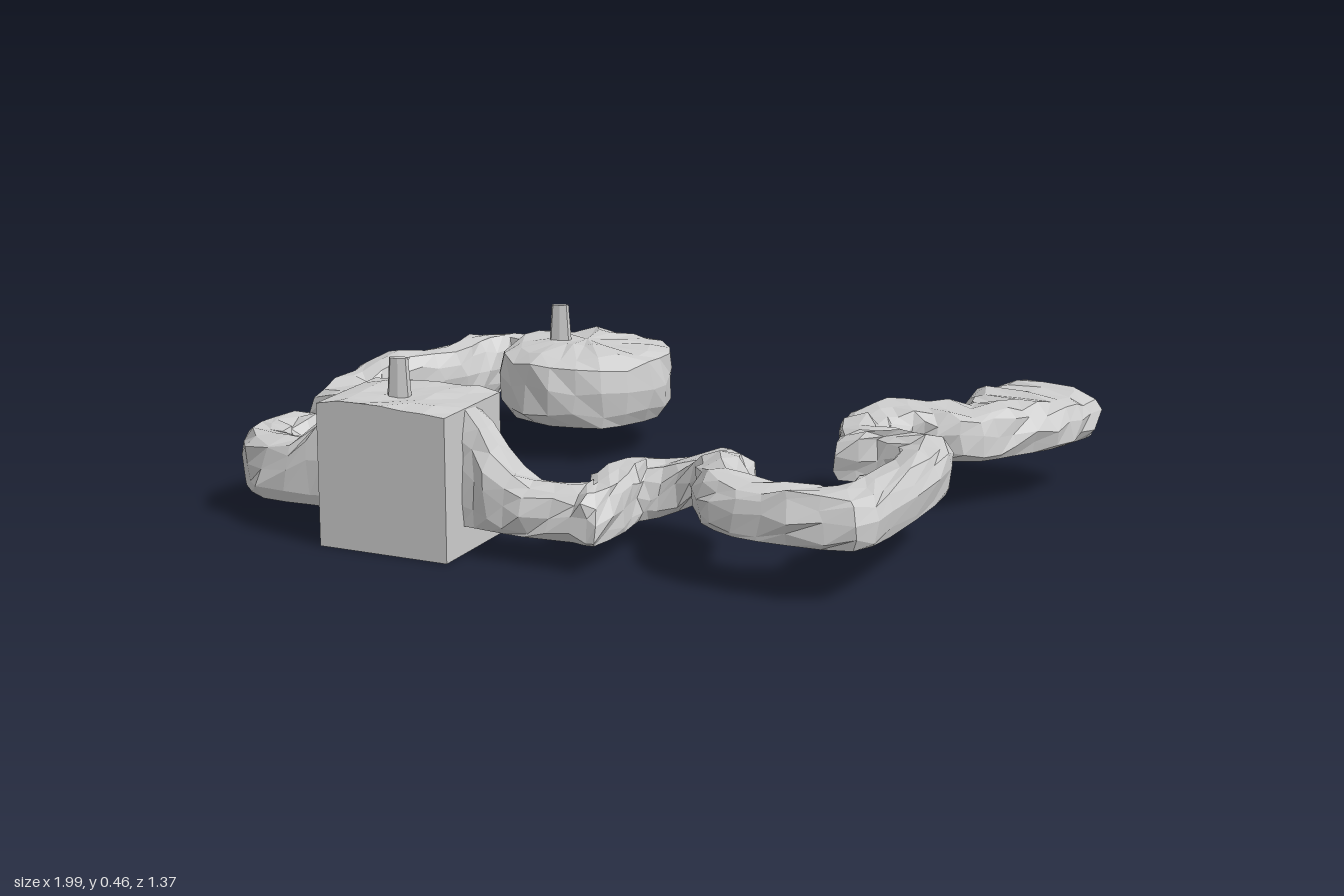
import * as THREE from 'three';

const rock = new THREE.MeshStandardMaterial({ color: 0xcccccc, flatShading: true, side: THREE.DoubleSide });
rock.name = 'pale grey rock';

// Repeatable roughness taken from a position, so shared corners stay together
const rough = (x, y, z, k) => {
  const q = (v) => Math.round(v * 500);
  const s = Math.sin(q(x) * 12.99 + q(y) * 78.23 + q(z) * 37.72 + k * 11.3) * 43758.5453;
  return (s - Math.floor(s)) * 2 - 1;
};

function roughen(geometry, amount, keepBelow) {
  const p = geometry.attributes.position;
  for (let i = 0; i < p.count; i++) {
    const x = p.getX(i), y = p.getY(i), z = p.getZ(i);
    const floor = y < keepBelow;
    p.setXYZ(i, x + rough(x, y, z, 1) * amount, y + (floor ? 0 : rough(x, y, z, 2) * amount),
      z + rough(x, y, z, 3) * amount);
  }
  geometry.computeVertexNormals();
  return geometry;
}

// Passage section: [across 0..1, height 0..1]
const section = [[0.06, 0], [0, 0.16], [0.01, 0.5], [0.07, 0.8], [0.2, 0.95], [0.5, 1],
  [0.8, 0.95], [0.93, 0.8], [0.99, 0.5], [1, 0.16], [0.94, 0]];

// Skin a passage between two plan edges; rows are [leftX, leftZ, rightX, rightZ]
function passage(rows, heights, steps) {
  const edge = (k) => new THREE.CatmullRomCurve3(
    rows.map((r) => new THREE.Vector3(r[k], 0, r[k + 1])), false, 'catmullrom', 0.4);
  const left = edge(0), right = edge(2), n = (rows.length - 1) * steps, m = section.length;
  const pos = [], index = [];
  for (let j = 0; j <= n; j++) {
    const a = left.getPoint(j / n), b = right.getPoint(j / n);
    const [bottom, top] = heights((a.x + b.x) / 2, (a.z + b.z) / 2);
    section.forEach(([u, v], i) => {
      const x = a.x + (b.x - a.x) * u, z = a.z + (b.z - a.z) * u;
      const y = bottom + (top - bottom) * v, r = v === 0 ? 0 : 0.011;
      pos.push(x + rough(x, y, z, 1) * r, y + rough(x, y, z, 2) * r, z + rough(x, y, z, 3) * r);
      if (j < n) {
        const p = j * m + i, q = j * m + (i + 1) % m;
        index.push(p, q, p + m, q, q + m, p + m);
      }
    });
  }
  // End caps
  for (let i = 1; i < m - 1; i++) {
    index.push(0, i + 1, i, n * m, n * m + i, n * m + i + 1);
  }
  const g = new THREE.BufferGeometry();
  g.setAttribute('position', new THREE.Float32BufferAttribute(pos, 3));
  g.setIndex(index);
  g.computeVertexNormals();
  return g;
}

// Passage roof climbs where it meets the square chamber
const hill = (x, z, top) => {
  const t = z > 0.4 ? THREE.MathUtils.clamp(1 - (Math.abs(x + 0.405) - 0.17) / 0.14, 0, 1) : 0;
  return top + (0.36 - top) * t;
};
const westHeights = (x, z) => {
  const t = THREE.MathUtils.smoothstep(-z, 0, 0.26);
  return [0.07 + 0.03 * t, hill(x, z, 0.22 + 0.035 * t)];
};
const eastHeights = (x, z) => {
  const t = THREE.MathUtils.smoothstep(x, 0.1, 0.36);
  return [0.07 + 0.067 * t, hill(x, z, 0.19 + 0.068 * t)];
};

const westRows = [
  [-0.52, -0.5, -0.52, -0.66], [-0.66, -0.53, -0.66, -0.645], [-0.7, -0.52, -0.78, -0.63],
  [-0.71, -0.44, -0.85, -0.54], [-0.72, -0.32, -0.86, -0.36], [-0.8, -0.22, -0.96, -0.27],
  [-0.84, -0.1, -0.98, -0.1], [-0.82, -0.06, -0.99, 0.05], [-0.72, -0.06, -0.84, 0.075],
  [-0.59, -0.04, -0.68, 0.09], [-0.51, 0.05, -0.62, 0.13], [-0.495, 0.17, -0.615, 0.17],
  [-0.55, 0.3, -0.66, 0.2], [-0.65, 0.345, -0.74, 0.21], [-0.76, 0.37, -0.86, 0.24],
  [-0.79, 0.42, -0.93, 0.38], [-0.77, 0.46, -0.91, 0.51], [-0.72, 0.46, -0.8, 0.6],
  [-0.65, 0.455, -0.66, 0.6], [-0.57, 0.45, -0.57, 0.6]];

const eastRows = [
  [-0.24, 0.46, -0.24, 0.6], [-0.15, 0.47, -0.16, 0.61], [-0.08, 0.47, -0.06, 0.62],
  [0, 0.45, 0.07, 0.61], [0.03, 0.42, 0.13, 0.62], [0, 0.38, 0.15, 0.48],
  [0.04, 0.25, 0.14, 0.39], [0.12, 0.2, 0.18, 0.36], [0.29, 0.22, 0.27, 0.365],
  [0.4, 0.29, 0.3, 0.43], [0.44, 0.42, 0.36, 0.54], [0.52, 0.455, 0.47, 0.61],
  [0.6, 0.46, 0.61, 0.62], [0.66, 0.43, 0.77, 0.6], [0.68, 0.33, 0.81, 0.46],
  [0.69, 0.17, 0.82, 0.17], [0.67, 0.05, 0.8, 0], [0.61, 0.04, 0.72, -0.05],
  [0.52, 0.07, 0.61, -0.05], [0.46, -0.1, 0.59, -0.12], [0.44, -0.19, 0.63, -0.18],
  [0.48, -0.34, 0.7, -0.2], [0.57, -0.33, 0.8, -0.24], [0.68, -0.39, 0.86, -0.33],
  [0.69, -0.45, 0.93, -0.43], [0.64, -0.52, 0.97, -0.53], [0.67, -0.61, 0.99, -0.61],
  [0.75, -0.655, 0.92, -0.65]];

export function createModel() {
  const model = new THREE.Group();
  model.name = 'caveSystem';
  const add = (name, geometry, x = 0, y = 0, z = 0) => {
    const mesh = new THREE.Mesh(geometry, rock);
    mesh.name = name;
    mesh.position.set(x, y, z);
    model.add(mesh);
    return mesh;
  };

  add('westPassage', passage(westRows, westHeights, 2));
  add('eastPassage', passage(eastRows, eastHeights, 2));

  // Round chamber with a flat floor and low dome
  const profile = [[0, 0.1], [0.215, 0.1], [0.235, 0.135], [0.237, 0.2], [0.225, 0.26],
    [0.18, 0.285], [0.09, 0.295], [0, 0.297]].map(([r, y]) => new THREE.Vector2(r, y));
  add('roundChamber', roughen(new THREE.LatheGeometry(profile, 20), 0.009, 0.11), -0.405, 0, -0.44);

  // Square chamber with softened upper side edges
  const box = new THREE.BoxGeometry(0.35, 0.37, 0.28, 6, 6, 5);
  box.translate(0, 0.185, 0);
  const p = box.attributes.position;
  for (let i = 0; i < p.count; i++) {
    if (p.getY(i) > 0.36 && Math.abs(p.getX(i)) > 0.17) p.setY(i, 0.358);
    else if (p.getY(i) > 0.36) p.setY(i, 0.365 + 0.006 * rough(p.getX(i), 0, p.getZ(i), 4));
  }
  box.computeVertexNormals();
  add('squareChamber', box, -0.405, 0, 0.54);

  // Chimneys on both chamber roofs
  const chimney = (name, x, z, top, height) => {
    const mesh = add(name, new THREE.CylinderGeometry(0.019, 0.026, height, 7), x, top - height / 2, z);
    mesh.scale.set(1.25, 1, 0.65);
    mesh.rotation.y = 0.3;
  };
  chimney('squareChamberChimney', -0.425, 0.55, 0.458, 0.12);
  chimney('roundChamberChimney', -0.47, -0.405, 0.393, 0.12);

  // Small rock point on the west passage roof
  add('rockPoint', new THREE.ConeGeometry(0.04, 0.08, 4), -0.66, 0.24, 0.3);
  return model;
}
